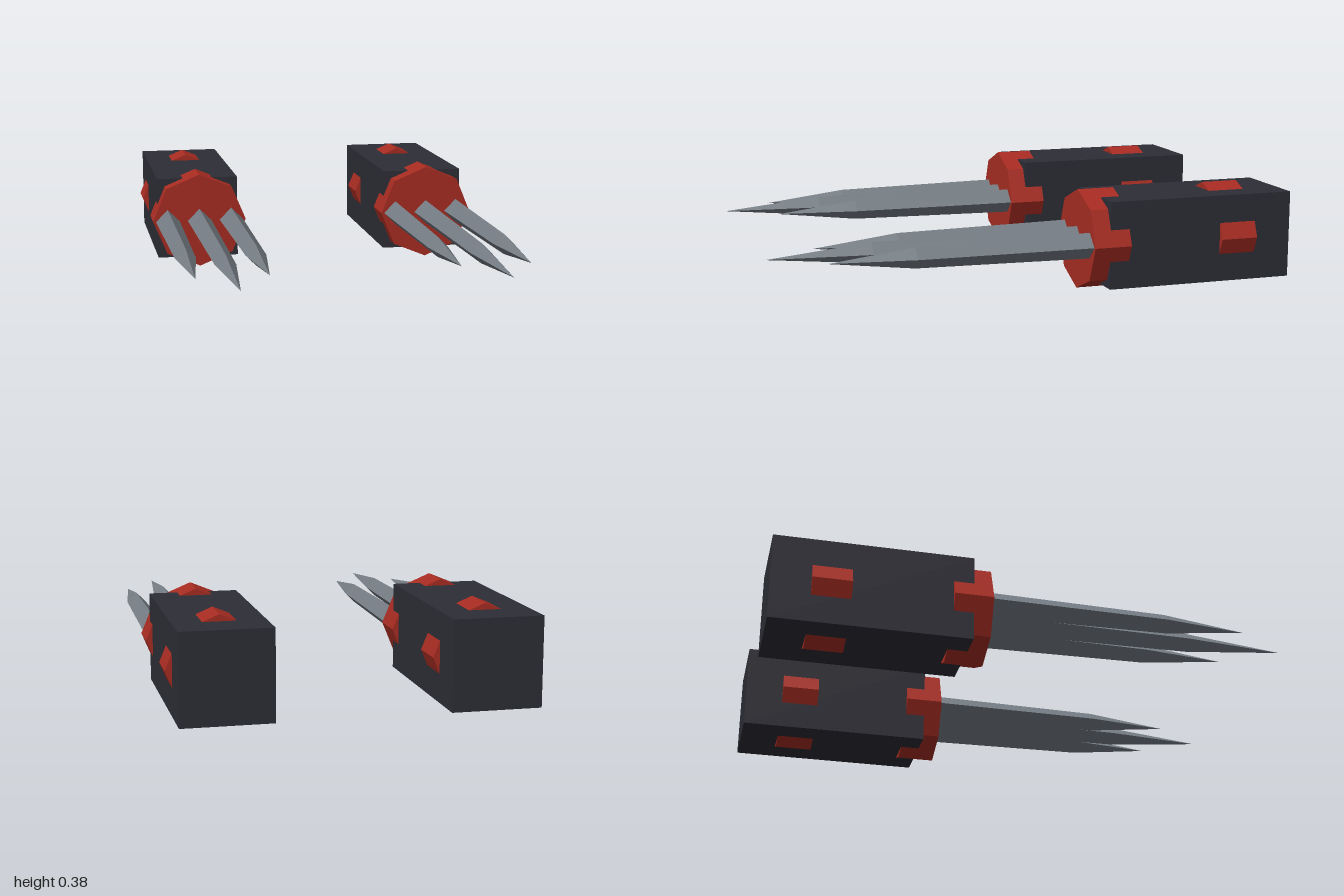
import * as THREE from 'three';

const red = new THREE.MeshStandardMaterial({ name: 'red', color: 0xa82c22, flatShading: true });
const dark = new THREE.MeshStandardMaterial({ name: 'charcoal', color: 0x2d2d36, flatShading: true });
const steel = new THREE.MeshStandardMaterial({ name: 'steel', color: 0x747c83, flatShading: true });

// Prism along z with corners on the x and y axes
function prism(name, sides, backRadius, frontRadius, z0, z1, material, open = false) {
  const geometry = new THREE.CylinderGeometry(frontRadius, backRadius, z1 - z0, sides, 1, open);
  geometry.rotateX(Math.PI / 2);
  geometry.translate(0, 0, (z0 + z1) / 2);
  const mesh = new THREE.Mesh(geometry, material);
  mesh.name = name;
  return mesh;
}

// Diamond-section blade: long shaft and a pointed tip
function makeBlade(x, shoulder, tip) {
  const blade = new THREE.Group();
  blade.name = 'blade';
  blade.add(
    prism('bladeShaft', 4, 0.049, 0.039, -0.2, shoulder, steel, true),
    prism('bladeTip', 4, 0.039, 0, shoulder, tip, steel, true)
  );
  blade.position.x = x;
  return blade;
}

function makeGauntlet(name, x) {
  const gauntlet = new THREE.Group();
  gauntlet.name = name;

  // Square forearm block
  const sleeve = new THREE.Mesh(new THREE.BoxGeometry(0.332, 0.332, 0.74), dark);
  sleeve.name = 'sleeve';
  sleeve.position.z = -0.63;
  gauntlet.add(sleeve);

  // Octagonal bands whose corners poke through the block
  gauntlet.add(prism('frontBand', 8, 0.191, 0.191, -0.335, -0.19, red));
  gauntlet.add(prism('rearBand', 8, 0.191, 0.191, -0.852, -0.707, red));

  // Three blades, the middle one longest
  for (const i of [-1, 0, 1]) {
    gauntlet.add(makeBlade(i * 0.131, i ? 0.48 : 0.61, i ? 0.8 : 1));
  }

  gauntlet.position.set(x, 0.194, 0);
  return gauntlet;
}

export function createModel() {
  const model = new THREE.Group();
  model.name = 'clawGauntlets';
  model.add(makeGauntlet('leftGauntlet', 0.48), makeGauntlet('rightGauntlet', -0.48));
  return model;
}
